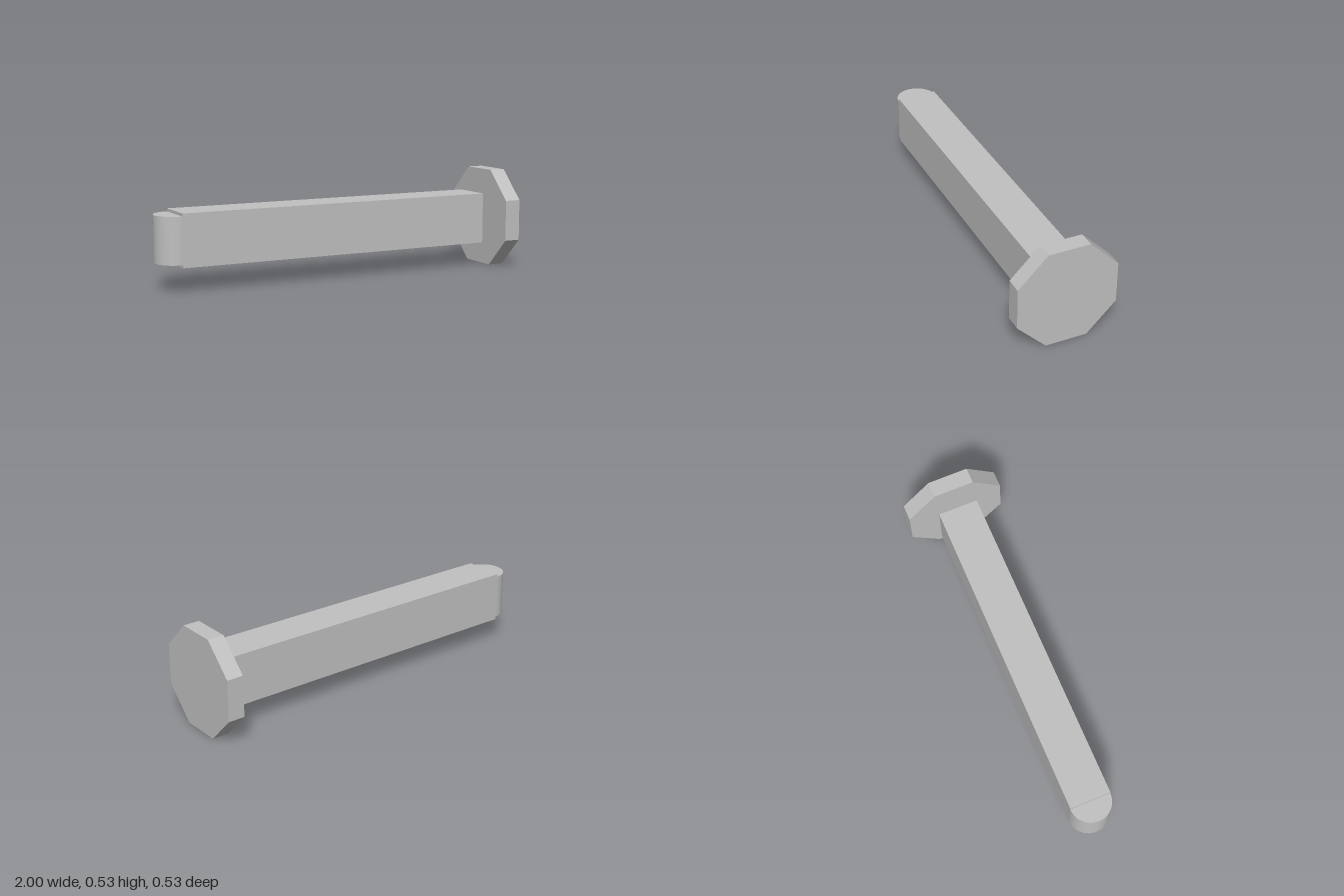
import * as THREE from 'three';

export function createModel() {
  const group = new THREE.Group();
  group.name = 'pin';
  const grey = new THREE.MeshStandardMaterial({ color: 0xc0c0c0 });
  grey.name = 'grey';

  const add = (name, geometry, x, y) => {
    const mesh = new THREE.Mesh(geometry, grey);
    mesh.name = name;
    mesh.position.set(x, y, 0);
    group.add(mesh);
  };

  const midY = 0.264;
  const halfWidth = 0.109;
  const barStart = -0.891;
  const barEnd = 0.866;

  // Long rectangular bar
  add('shaft', new THREE.BoxGeometry(barEnd - barStart, 0.272, halfWidth * 2),
    (barStart + barEnd) / 2, midY);

  // Half-round nose, slightly shorter than the bar is tall
  add('roundedTip', new THREE.CylinderGeometry(halfWidth, halfWidth, 0.242, 32, 1, false, Math.PI, Math.PI),
    barStart, midY);

  // Octagonal head plate, flat side down, with faceted edges
  const radius = midY / Math.cos(Math.PI / 8);
  const head = new THREE.CylinderGeometry(radius, radius, 0.088, 8)
    .rotateY(Math.PI / 8).rotateZ(Math.PI / 2).toNonIndexed();
  head.computeVertexNormals();
  add('octagonalHead', head, 0.956, midY);

  return group;
}
